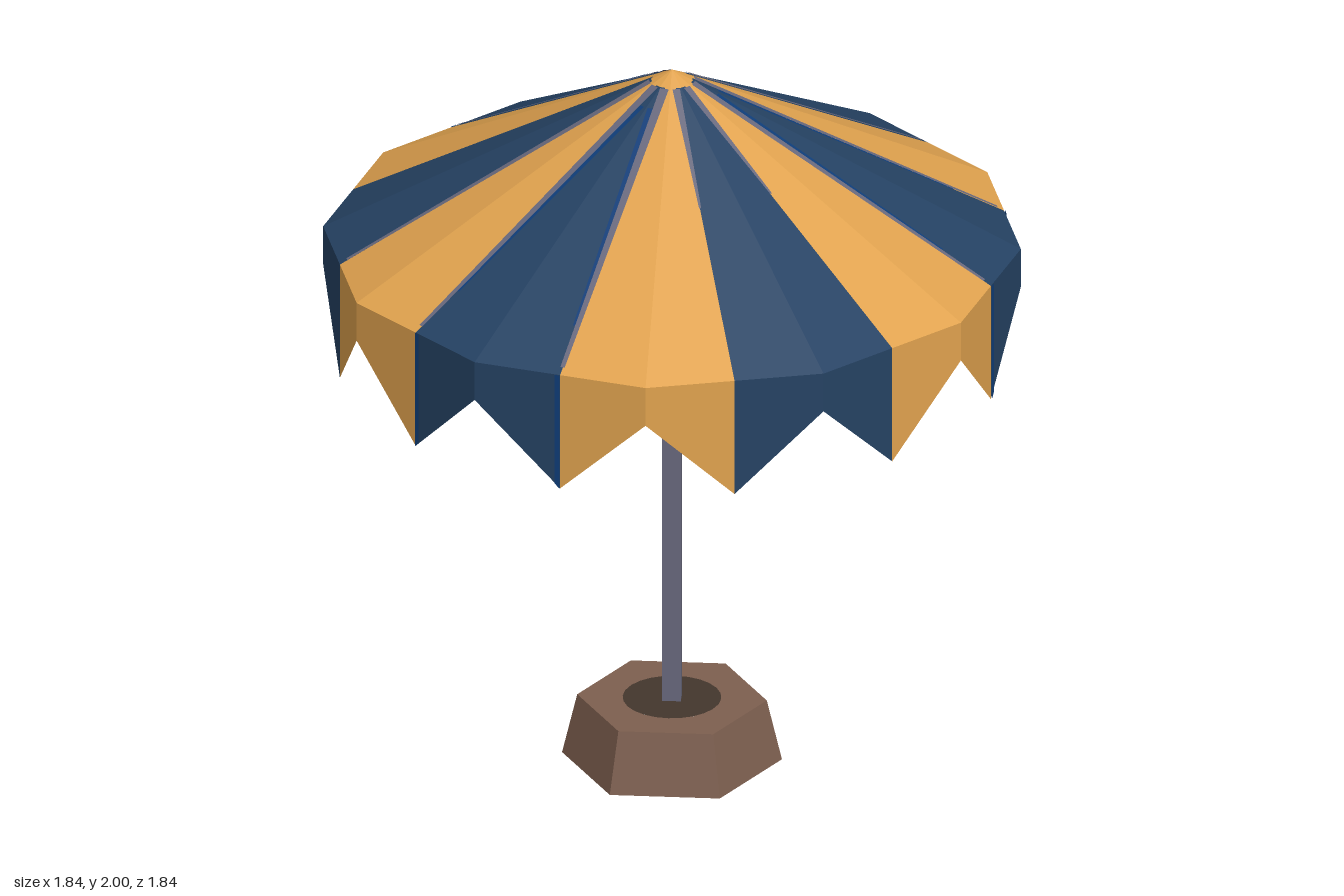
import * as THREE from 'three';

const RIM = 0.92, RIM_Y = 1.51, TOP_Y = 2, TIP_Y = 1.18, NOTCH_Y = 1.4;
const MID = RIM * Math.cos(Math.PI / 12); // radius at the middle of a rim edge
const rad = THREE.MathUtils.degToRad;

const mat = (name, color, side = THREE.FrontSide) => {
  const m = new THREE.MeshStandardMaterial({ color, side });
  m.name = name;
  return m;
};

// Flat-shaded surface made of four-cornered faces
function quads(list) {
  const pos = [];
  for (const [a, b, c, d] of list) for (const p of [a, b, c, a, c, d]) pos.push(...p);
  const g = new THREE.BufferGeometry();
  g.setAttribute('position', new THREE.Float32BufferAttribute(pos, 3));
  g.computeVertexNormals();
  return g;
}

export function createModel() {
  const orange = mat('orange cloth', 0xe0a24e, THREE.DoubleSide);
  const navy = mat('navy cloth', 0x254263, THREE.DoubleSide);
  const blue = mat('blue trim', 0x0f3d78, THREE.DoubleSide);
  const grey = mat('grey metal', 0x68687c, THREE.DoubleSide);
  const brown = mat('brown stone', 0x7d5f4f, THREE.DoubleSide);
  const dark = mat('dark recess', 0x43362d, THREE.DoubleSide);

  const model = new THREE.Group();
  const add = (name, geo, material, parent = model) => {
    const m = new THREE.Mesh(geo, material);
    m.name = name;
    parent.add(m);
    return m;
  };

  // Hollow six-sided foot with a dark ring around the pole
  const wall = new THREE.CylinderGeometry(0.25, 0.29, 0.17, 6, 1, true).toNonIndexed();
  wall.computeVertexNormals();
  wall.rotateY(Math.PI / 2).translate(0, 0.085, 0);
  add('baseWall', wall, brown);
  add('baseTop', new THREE.RingGeometry(0.13, 0.25, 6).rotateX(-Math.PI / 2).translate(0, 0.17, 0), brown);
  add('baseRecess', new THREE.CircleGeometry(0.13, 24).rotateX(-Math.PI / 2).translate(0, 0.171, 0), dark);

  // Square pole
  add('pole', new THREE.BoxGeometry(0.05, 1.86, 0.05).translate(0, 1.03, 0), grey);

  // Four struts rising from the pole to the canopy
  const from = new THREE.Vector2(0, 0.985), to = new THREE.Vector2(0.8, 1.45);
  const span = to.clone().sub(from);
  for (let i = 0; i < 4; i++) {
    const strut = new THREE.BoxGeometry(span.length(), 0.038, 0.052)
      .rotateZ(span.angle())
      .translate((from.x + to.x) / 2, (from.y + to.y) / 2, 0)
      .rotateY(i * Math.PI / 2);
    add('strut', strut, grey);
  }

  // Canopy: twelve gores, each folded along its middle, with a pointed valance
  const canopy = new THREE.Group();
  canopy.name = 'canopy';
  model.add(canopy);
  const at = (deg, r, y) => [Math.cos(rad(deg)) * r, y, Math.sin(rad(deg)) * r];
  const CAP = 0.06;
  const capY = TOP_Y - (TOP_Y - RIM_Y) * CAP;
  for (let i = 0; i < 12; i++) {
    const c = i * 30, cloth = i % 2 ? orange : navy;
    const roof = [], valance = [], cap = [];
    for (const s of [1, -1]) {
      const e = c + 15 * s;
      const faces = [
        [roof, [at(c, RIM * CAP, capY), at(e, MID * CAP, capY), at(e, MID, RIM_Y), at(c, RIM, RIM_Y)]],
        [valance, [at(c, RIM, RIM_Y), at(e, MID, RIM_Y), at(e, MID, TIP_Y), at(c, RIM, NOTCH_Y)]],
        [cap, [at(0, 0, TOP_Y), at(0, 0, TOP_Y), at(e, MID * CAP, capY), at(c, RIM * CAP, capY)]],
      ];
      // Reversed on one half so every face points outward
      for (const [list, f] of faces) list.push(s > 0 ? f : f.reverse());
    }
    add('gore', quads(roof), cloth, canopy);
    add('valance', quads(valance), cloth, canopy);
    add('cap', quads(cap), orange, canopy);
  }

  // Seam strips lying on the flat facets between gores
  const slope = (TOP_Y - RIM_Y) / MID;
  const seamPoint = (deg, r, w, y = TOP_Y + 0.004 - slope * r) => {
    const a = rad(deg);
    return [Math.cos(a) * r - Math.sin(a) * w, y, Math.sin(a) * r + Math.cos(a) * w];
  };
  const strip = (name, deg, r0, r1, w0, w1, w2, w3, material) => {
    const f = [seamPoint(deg, r0, w0), seamPoint(deg, r0, w1), seamPoint(deg, r1, w3), seamPoint(deg, r1, w2)];
    if (w1 > w0) f.reverse();
    f.reverse();
    add(name, quads([f]), material, canopy);
  };
  for (const deg of [15, 105, 135, 165, 225, 255, 315, 345]) {
    strip('seam', deg, 0.06, 0.87, -0.012, 0.012, -0.006, 0.006, grey);
  }
  for (const deg of [45, 75]) strip('shortSeam', deg, 0.06, 0.4, -0.01, 0.01, -0.003, 0.003, grey);

  // Blue trim along both edges of every second navy gore
  for (const c of [0, 120, 240]) {
    for (const s of [1, -1]) {
      const deg = c + 15 * s;
      strip('blueTrim', deg, 0.12, 0.75, -0.012 * s, -0.026 * s, -0.007 * s, -0.013 * s, blue);
      const r = MID + 0.003, w = -0.015 * s;
      const f = [seamPoint(deg, r, 0, RIM_Y), seamPoint(deg, r, w, RIM_Y),
        seamPoint(deg, r, w, TIP_Y + 0.014), seamPoint(deg, r, 0, TIP_Y)];
      add('valanceTrim', quads([s > 0 ? f.reverse() : f]), blue, canopy);
    }
  }
  return model;
}
